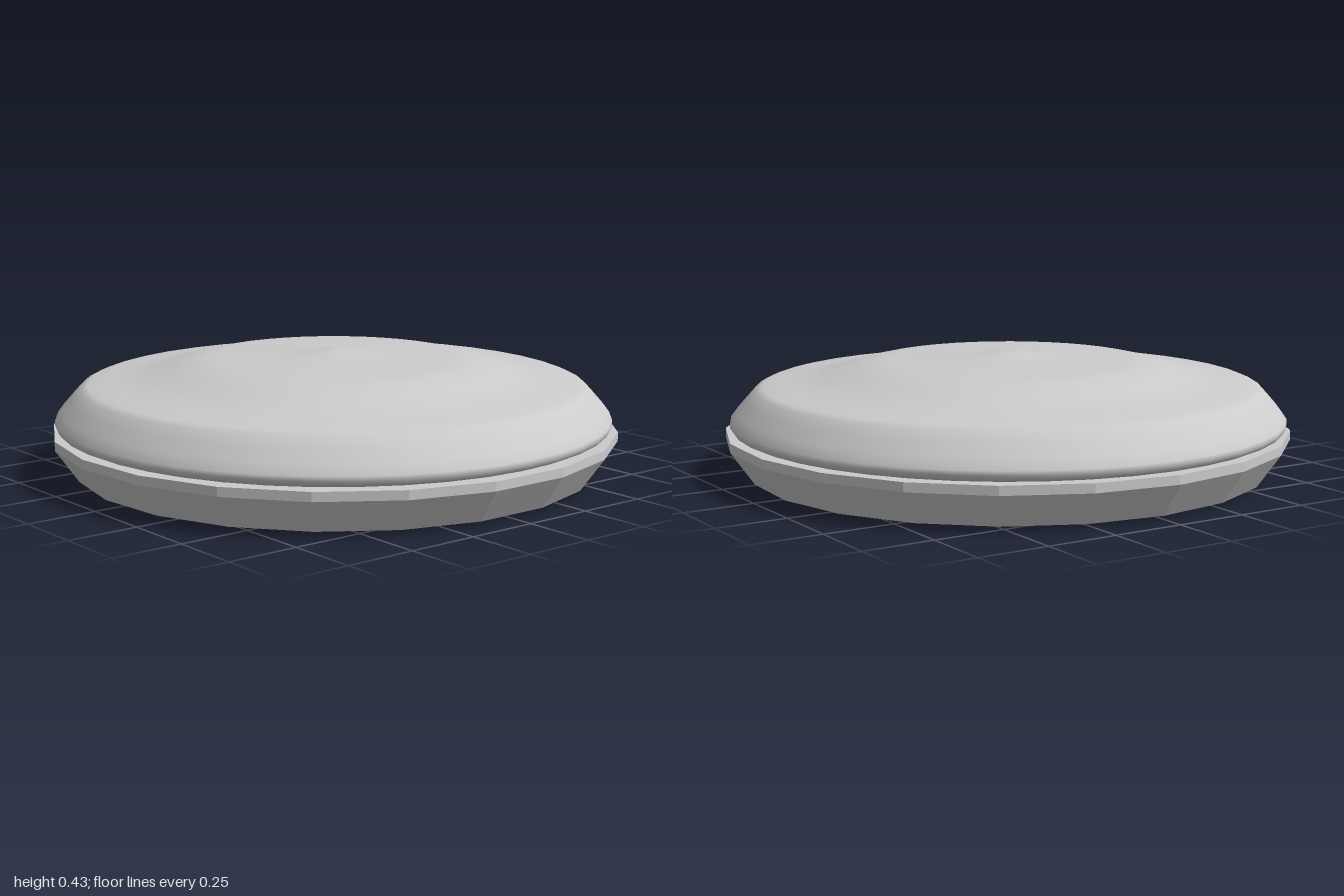
import * as THREE from 'three';

// Turn a profile of [radius, height] pairs, listed from bottom to top
function turned(name, profile, sides, start, flatShading) {
  const points = profile.map(([r, y]) => new THREE.Vector2(r, y));
  const geometry = new THREE.LatheGeometry(points, sides, start);
  const material = new THREE.MeshStandardMaterial({ color: 0xcccccc, flatShading });
  const mesh = new THREE.Mesh(geometry, material);
  mesh.name = name;
  return mesh;
}

export function createModel() {
  const group = new THREE.Group();
  group.name = 'lowRoundCushion';

  // Faceted base: 21 sides, flared, with a narrow upright rim
  const base = turned('base', [
    [0, 0], [0.92, 0.012], [1.002, 0.128], [1.002, 0.16], [0, 0.16],
  ], 21, Math.PI, true);
  base.position.z = 0.005;
  group.add(base);

  // Smooth lid: rounded edge, sloping shoulder and a shallow central peak
  group.add(turned('lid', [
    [0, 0.163], [0.955, 0.163], [0.975, 0.172], [0.985, 0.187], [0.984, 0.203],
    [0.96, 0.235], [0.925, 0.275], [0.895, 0.308], [0.868, 0.32], [0.8, 0.327],
    [0.72, 0.338], [0.65, 0.354], [0.57, 0.378], [0.5, 0.394], [0.43, 0.402],
    [0.2, 0.407], [0.1, 0.418], [0.04, 0.427], [0, 0.43],
  ], 42, 0, false));

  return group;
}
